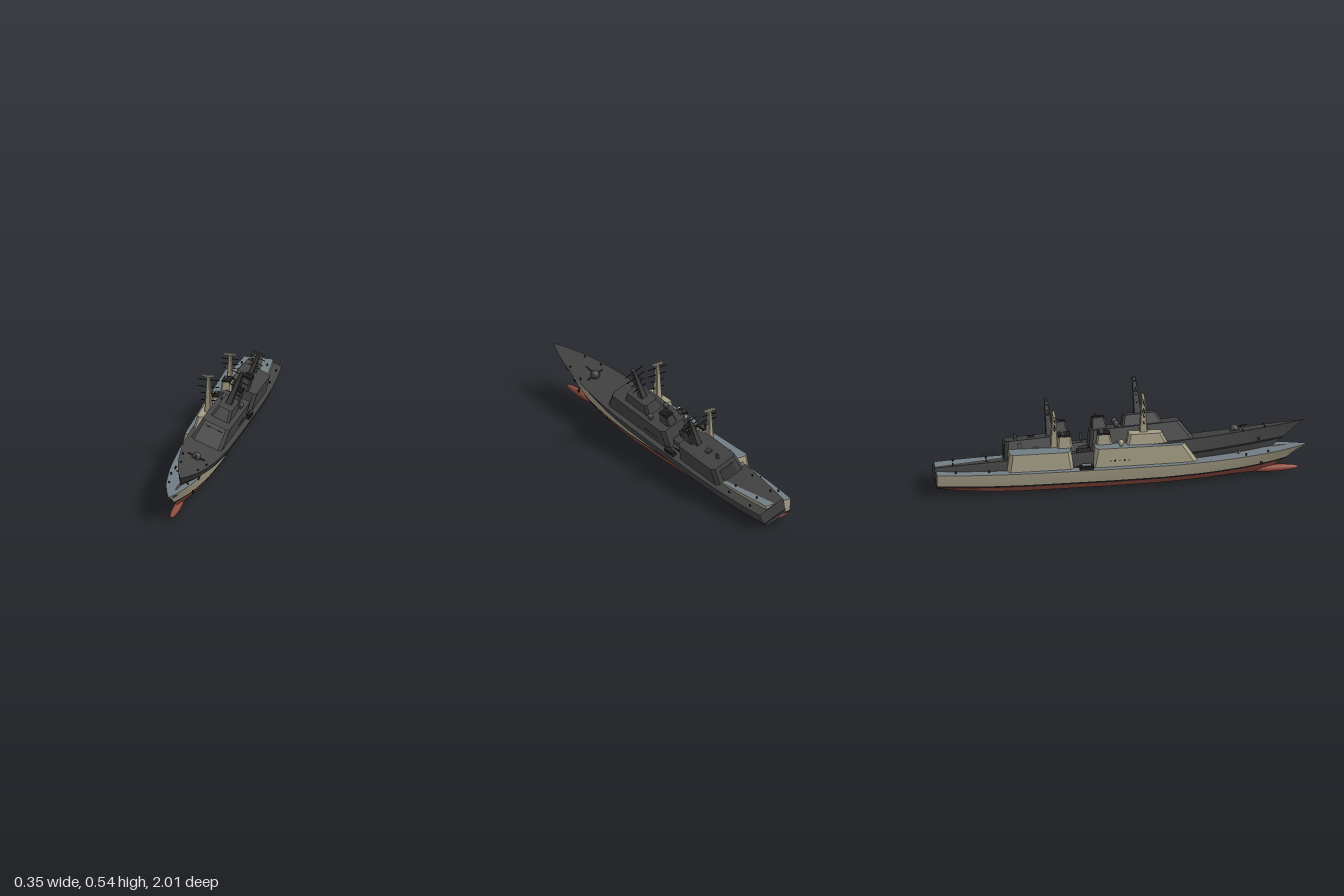
import * as THREE from 'three';
import { toCreasedNormals } from 'three/addons/utils/BufferGeometryUtils.js';

const material = (name, color) => {
  const m = new THREE.MeshStandardMaterial({ color });
  m.name = name;
  return m;
};

// Builds a geometry from quads, each given as four corners
function quadGeometry(quads, crease) {
  const p = [];
  for (const [a, b, c, d] of quads) p.push(...a, ...b, ...c, ...a, ...c, ...d);
  const g = new THREE.BufferGeometry();
  g.setAttribute('position', new THREE.Float32BufferAttribute(p, 3));
  return toCreasedNormals(g, crease);
}

// Hull stations: [position stern to bow, half beam]
const STATIONS = [[0, .08], [.05, .091], [.1, .1], [.17, .109], [.25, .115], [.37, .117], [.5, .117],
  [.65, .115], [.75, .104], [.8, .094], [.85, .08], [.89, .067], [.925, .05], [.965, .026], [1, 0]];
// Hull levels: [height, stern height, bow rise, width factor, bow z]
const LEVELS = [[0, .045, .02, .32, .76], [.02, .05, .02, .68, .8], [.055, .06, .023, .87, .86],
  [.068, .073, .025, .92, .885], [.105, .107, .026, .98, .935], [.14, .14, .027, 1, 1]];

function hullPoint(s, l, side) {
  const [u, beam] = STATIONS[s], [y, sternY, rise, factor, bowZ] = LEVELS[l];
  const aft = Math.max(0, 1 - u / .25) ** 2, fore = Math.max(0, (u - .5) / .5) ** 2;
  const narrow = 1 - (1 - factor) * .5 * fore;
  return [side * beam * factor * narrow, y + (sternY - y) * aft + rise * fore, -1 + (bowZ + 1) * u];
}

// Hull plating between two levels, with its part of the transom
function hullBand(from, to) {
  const q = [];
  for (let l = from; l < to; l++) {
    for (let s = 0; s < STATIONS.length - 1; s++) {
      for (const side of [1, -1]) {
        const quad = [hullPoint(s, l, side), hullPoint(s, l + 1, side), hullPoint(s + 1, l + 1, side), hullPoint(s + 1, l, side)];
        q.push(side > 0 ? quad : quad.reverse());
      }
    }
    q.push([hullPoint(0, l, 1), hullPoint(0, l, -1), hullPoint(0, l + 1, -1), hullPoint(0, l + 1, 1)]);
  }
  return q;
}

// Flat face across the hull at one level
function hullCap(l, up) {
  const q = [];
  for (let s = 0; s < STATIONS.length - 1; s++) {
    const quad = [hullPoint(s + 1, l, -1), hullPoint(s + 1, l, 1), hullPoint(s, l, 1), hullPoint(s, l, -1)];
    q.push(up ? quad : quad.reverse());
  }
  return q;
}

function createShip(name, c, hasForeRadar) {
  const ship = new THREE.Group();
  ship.name = name;
  const add = (part, geometry, mat, x = 0, y = 0, z = 0) => {
    const m = new THREE.Mesh(geometry, mat);
    m.name = part;
    m.position.set(x, y, z);
    ship.add(m);
    return m;
  };
  const box = (part, mat, w, h, d, x, y, z) => add(part, new THREE.BoxGeometry(w, h, d), mat, x, y, z);
  const cyl = (part, mat, r0, r1, h, x, y, z, n = 12) => add(part, new THREE.CylinderGeometry(r1, r0, h, n), mat, x, y, z);

  // Tapered block with cut corners: bottom and top are [front z, back z, half width, y]
  const block = (part, mat, bottom, top, cut, roof = mat) => {
    const ring = ([f, b, w, y]) => [[w, f - cut], [w, b + cut], [w - cut, b], [cut - w, b], [-w, b + cut],
      [-w, f - cut], [cut - w, f], [w - cut, f]].map(([x, z]) => [x, y, z]);
    const lo = ring(bottom), hi = ring(top);
    add(part, quadGeometry(lo.map((p, i) => [p, lo[(i + 1) % 8], hi[(i + 1) % 8], hi[i]]), .3), mat);
    add(part + 'Roof', quadGeometry([[hi[0], hi[1], hi[2], hi[3]], [hi[0], hi[3], hi[4], hi[7]], [hi[4], hi[5], hi[6], hi[7]]], .3), roof);
  };

  // Hull
  add('lowerHull', quadGeometry([...hullBand(0, 2), ...hullCap(0, false)], .5), c.bottom);
  add('waterlineStripe', quadGeometry(hullBand(2, 3), .5), c.black);
  add('upperHull', quadGeometry(hullBand(3, 5), .5), c.body);
  add('deck', quadGeometry(hullCap(5, true), .5), c.deck);
  const bulb = add('bowBulb', new THREE.SphereGeometry(1, 16, 12), c.bottom, 0, .03, .81);
  bulb.scale.set(.02, .019, .14);
  box('rudder', c.bottom, .008, .032, .06, 0, .02, -.87);
  for (const s of [1, -1]) {
    box('anchor', c.black, .008, .016, .012, s * .069, .1, .74);
    cyl('propellerShaft', c.bottom, .004, .004, .2, s * .035, .02, -.72, 6).rotation.x = Math.PI / 2;
  }

  // Fore superstructure and bridge
  block('foreSuperstructure', c.body, [.4, -.17, .09, .138], [.33, -.15, .079, .245], .018, c.deck);
  block('bridge', c.body, [.24, .02, .053, .245], [.21, .035, .041, .302], .012);
  const slit = box('bridgeWindows', c.black, .11, .006, .004, 0, .228, .342);
  slit.rotation.x = -.58;
  for (const s of [1, -1]) {
    for (let i = 0; i < 5; i++) {
      box('porthole', c.black, .005, .006, .007, s * .0865, .175, .03 - i * .025);
    }
    const dome = add('antennaDome', new THREE.SphereGeometry(.015, 12, 8), c.body, s * .053, .265, -.01);
    dome.scale.y = 1.2;
    cyl('domePost', c.body, .008, .008, .02, s * .053, .25, -.01, 8);
  }

  // Aft superstructure with hangar door
  block('aftSuperstructure', c.body, [-.265, -.625, .092, .138], [-.28, -.61, .08, .237], .018, c.deck);
  box('hangarDoor', c.gray, .09, .065, .004, 0, .178, -.6195).rotation.x = .15;
  box('roofHatch', c.gray, .032, .008, .032, 0, .24, -.465);
  cyl('radarPost', c.gray, .01, .008, .03, 0, .25, -.55, 8);

  // Funnels with twin exhausts
  for (const [z, base] of [[-.1, .244], [-.31, .236]]) {
    block('funnel', c.body, [z + .045, z - .04, .032, base], [z + .035, z - .035, .025, .3], .008);
    box('funnelCap', c.black, .05, .01, .066, 0, .304, z);
    for (const x of [.012, -.012]) cyl('exhaust', c.gray, .009, .009, .012, x, .311, z - .01, 10);
  }

  // Boats and gear in the gap amidships
  for (const s of [1, -1]) {
    box('raftRack', c.black, .025, .02, .075, s * .096, .15, -.2);
    cyl('liferaft', c.gray, .008, .008, .05, s * .096, .165, -.2, 8).rotation.x = Math.PI / 2;
  }
  block('midshipHouse', c.body, [-.165, -.27, .05, .138], [-.17, -.265, .045, .185], .006, c.deck);
  box('crane', c.gray, .012, .05, .012, 0, .205, -.2);

  // Masts: base y, top y, z, bottom half width, yards as [y, half length]
  const mast = (part, z, y0, y1, half, yards, radar) => {
    block(part, c.body, [z + half * 1.2, z - half * 1.2, half, y0], [z + .011, z - .011, .009, y1], .004);
    for (const [y, r] of yards) box(part + 'Yard', c.black, r * 2, .003, .004, 0, y, z);
    box(part + 'Sensor', c.gray, .046, .012, .014, 0, y0 + (y1 - y0) * .63, z);
    if (radar) box(part + 'Radar', c.body, .068, .009, .012, 0, y1 + .006, z);
  };
  mast('foreMast', .115, .3, .496, .018, [[.48, .059], [.44, .059], [.403, .043], [.362, .043]], hasForeRadar);
  mast('aftMast', -.365, .236, .42, .017, [[.4, .045], [.37, .045], [.345, .035]], true);

  // Foredeck gun
  cyl('gunBase', c.body, .026, .026, .012, 0, .15, .62, 16);
  const turret = add('gunTurret', new THREE.SphereGeometry(.024, 14, 8, 0, Math.PI * 2, 0, Math.PI / 2), c.body, 0, .155, .62);
  turret.scale.y = 1.2;
  cyl('gunBarrel', c.gray, .004, .003, .06, 0, .172, .665, 8).rotation.x = Math.PI / 2 - .1;
  box('gunCrossbar', c.gray, .1, .005, .008, 0, .158, .62);

  // Bollards along the deck edge
  for (const s of [1, -1]) {
    for (const [x, z] of [[.07, .66], [.05, .78], [.08, -.72], [.07, -.9]]) {
      cyl('bollard', c.black, .004, .004, .012, s * x, .148 + Math.max(0, z) * .015, z, 6);
    }
  }
  return ship;
}

export function createModel() {
  const black = material('black', 0x1d1e1d);
  const dark = material('charcoal', 0x434343);
  const darkTrim = material('darkTrim', 0x383838);
  const painted = {
    body: material('tan', 0xa39c84), deck: material('deckGray', 0x727c84),
    bottom: material('hullRed', 0x8e4a3e), gray: material('gray', 0x6a6a6e), black,
  };
  const plain = { body: dark, deck: dark, bottom: dark, gray: darkTrim, black };

  const model = new THREE.Group();
  model.name = 'ships';
  const upright = createShip('uprightShip', painted, true);
  upright.position.x = -.058;
  // Second ship, heeled over with its bow raised
  const heeled = createShip('heeledShip', plain, false);
  heeled.position.set(-.058, .062, 0);
  heeled.rotation.set(-.063, 0, -.37);
  model.add(upright, heeled);
  return model;
}
